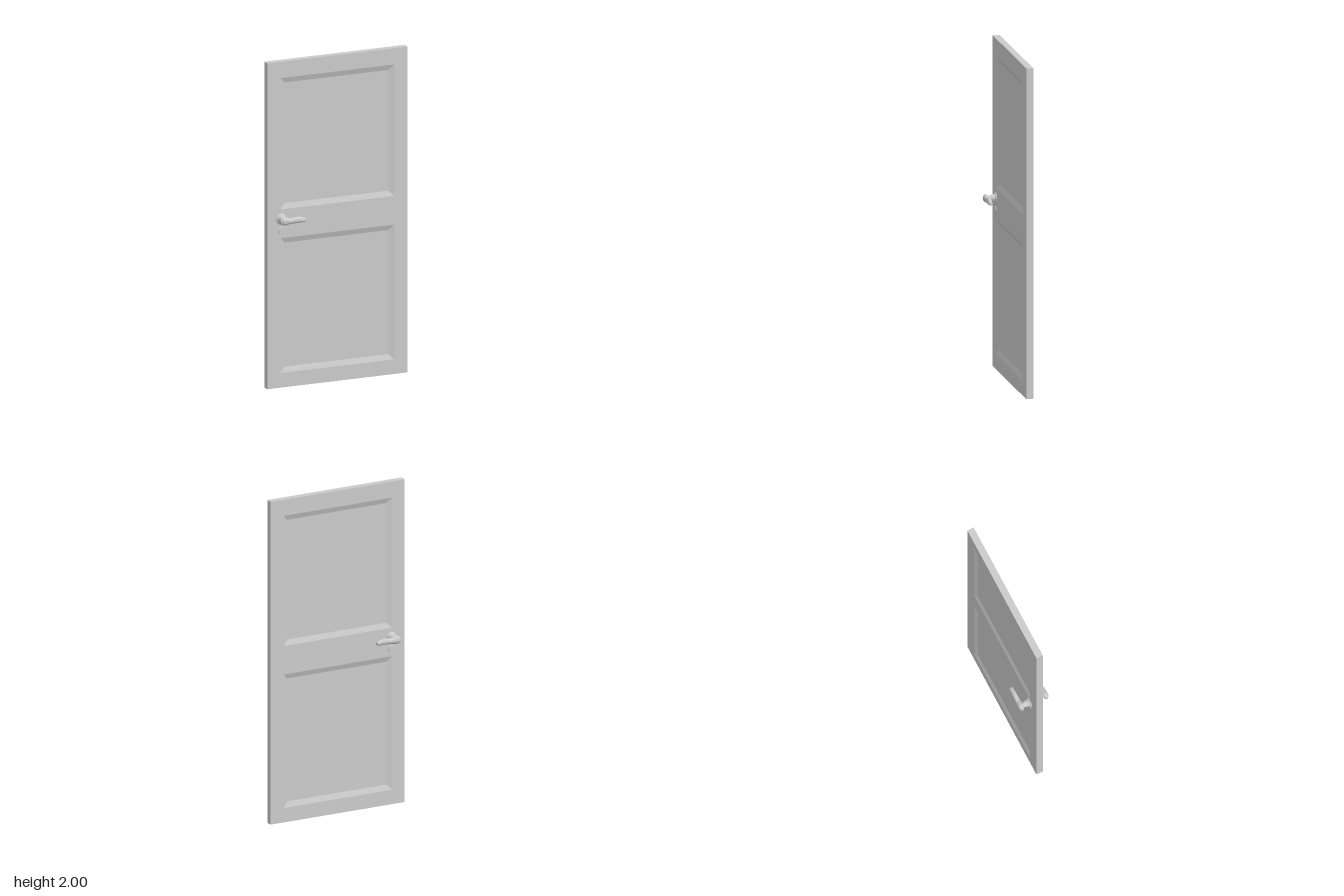
import * as THREE from 'three';

const material = new THREE.MeshStandardMaterial({ color: 0xcccccc, flatShading: true });
const HALF = 0.021; // half the door thickness
const DOOR = [-0.45, 0, 0.45, 2];
const PANELS = [
  { outer: [-0.365, 1.093, 0.365, 1.9], inner: [-0.332, 1.126, 0.332, 1.867] },
  { outer: [-0.365, 0.09, 0.365, 0.917], inner: [-0.332, 0.123, 0.332, 0.884] },
];
const RECESS = 0.012;

function mesh(name, geometry) {
  const m = new THREE.Mesh(geometry, material);
  m.name = name;
  return m;
}

// Rectangle corners, counter-clockwise seen from +z
const corners = ([l, b, r, t]) => [[l, b], [r, b], [r, t], [l, t]];

function fromLoops(loops, capStart, capEnd) {
  const n = loops[0].length, index = [];
  for (let k = 0; k < loops.length - 1; k++) {
    for (let i = 0; i < n; i++) {
      const a = k * n + i, b = k * n + (i + 1) % n;
      index.push(a, b, b + n, a, b + n, a + n);
    }
  }
  const last = (loops.length - 1) * n;
  for (let i = 1; i < n - 1; i++) {
    if (capStart) index.push(0, i + 1, i);
    if (capEnd) index.push(last, last + i, last + i + 1);
  }
  const g = new THREE.BufferGeometry();
  g.setAttribute('position', new THREE.Float32BufferAttribute(loops.flat(2), 3));
  g.setIndex(index);
  const flat = g.toNonIndexed();
  flat.computeVertexNormals();
  return flat;
}

const rectLoop = (rect, z) => corners(rect).map(([x, y]) => [x, y, z]);

// One door side: frame with two bevelled, sunken panels
function doorSide(name) {
  const side = new THREE.Group();
  side.name = name;
  const shape = new THREE.Shape(corners(DOOR).map(p => new THREE.Vector2(...p)));
  for (const p of PANELS) {
    shape.holes.push(new THREE.Path(corners(p.outer).reverse().map(c => new THREE.Vector2(...c))));
    side.add(mesh('recessedPanel', fromLoops(
      [rectLoop(p.outer, HALF), rectLoop(p.inner, HALF - RECESS)], false, true)));
  }
  const frame = mesh('frameFace', new THREE.ShapeGeometry(shape));
  frame.position.z = HALF;
  side.add(frame);
  return side;
}

// Lever lofted along x from elliptical sections: x, centre y, half height, half depth
function leverGeometry() {
  const sections = [
    [-0.39, 1.034, 0.01, 0.005],
    [-0.376, 1.035, 0.023, 0.0165],
    [-0.361, 1.036, 0.026, 0.018],
    [-0.345, 1.035, 0.022, 0.017],
    [-0.328, 1.034, 0.017, 0.0155],
    [-0.3, 1.036, 0.019, 0.015],
    [-0.275, 1.037, 0.019, 0.0145],
    [-0.25, 1.034, 0.016, 0.0135],
    [-0.235, 1.032, 0.013, 0.0125],
    [-0.23, 1.031, 0.009, 0.008],
  ];
  const n = 12;
  return fromLoops(sections.map(([x, y, ry, rz]) =>
    Array.from({ length: n }, (_, i) => {
      const a = (i / n) * Math.PI * 2;
      return [x, y + ry * Math.cos(a), rz * Math.sin(a)];
    })), true, true);
}

// Handle set for one side, s = +1 front, -1 back
function handle(s) {
  const set = new THREE.Group();
  set.name = s > 0 ? 'frontHandle' : 'backHandle';

  // Flared rosette and tapering neck
  const profile = [[0.034, 0.018], [0.034, 0.024], [0.03, 0.028], [0.025, 0.031],
    [0.023, 0.04], [0.019, 0.055], [0.017, 0.065], [0.016, 0.08]];
  const neck = mesh('rosetteAndNeck',
    new THREE.LatheGeometry(profile.map(p => new THREE.Vector2(...p)), 12));
  neck.rotation.x = s * Math.PI / 2;
  neck.position.set(-0.361, 1.035, 0);

  const lever = mesh('lever', leverGeometry());
  lever.position.z = s * 0.0805;

  // Round keyhole cover below the lever
  const cover = mesh('keyholeCover', new THREE.CylinderGeometry(0.019, 0.022, 0.006, 16));
  cover.rotation.x = s * Math.PI / 2;
  cover.position.set(-0.361, 0.963, s * (HALF + 0.001));

  set.add(neck, lever, cover);
  return set;
}

export function createModel() {
  const model = new THREE.Group();
  model.name = 'door';
  const back = doorSide('doorBack');
  back.rotation.y = Math.PI;
  model.add(
    doorSide('doorFront'), back,
    mesh('doorEdges', fromLoops([rectLoop(DOOR, -HALF), rectLoop(DOOR, HALF)], false, false)),
    handle(1), handle(-1),
  );
  return model;
}
